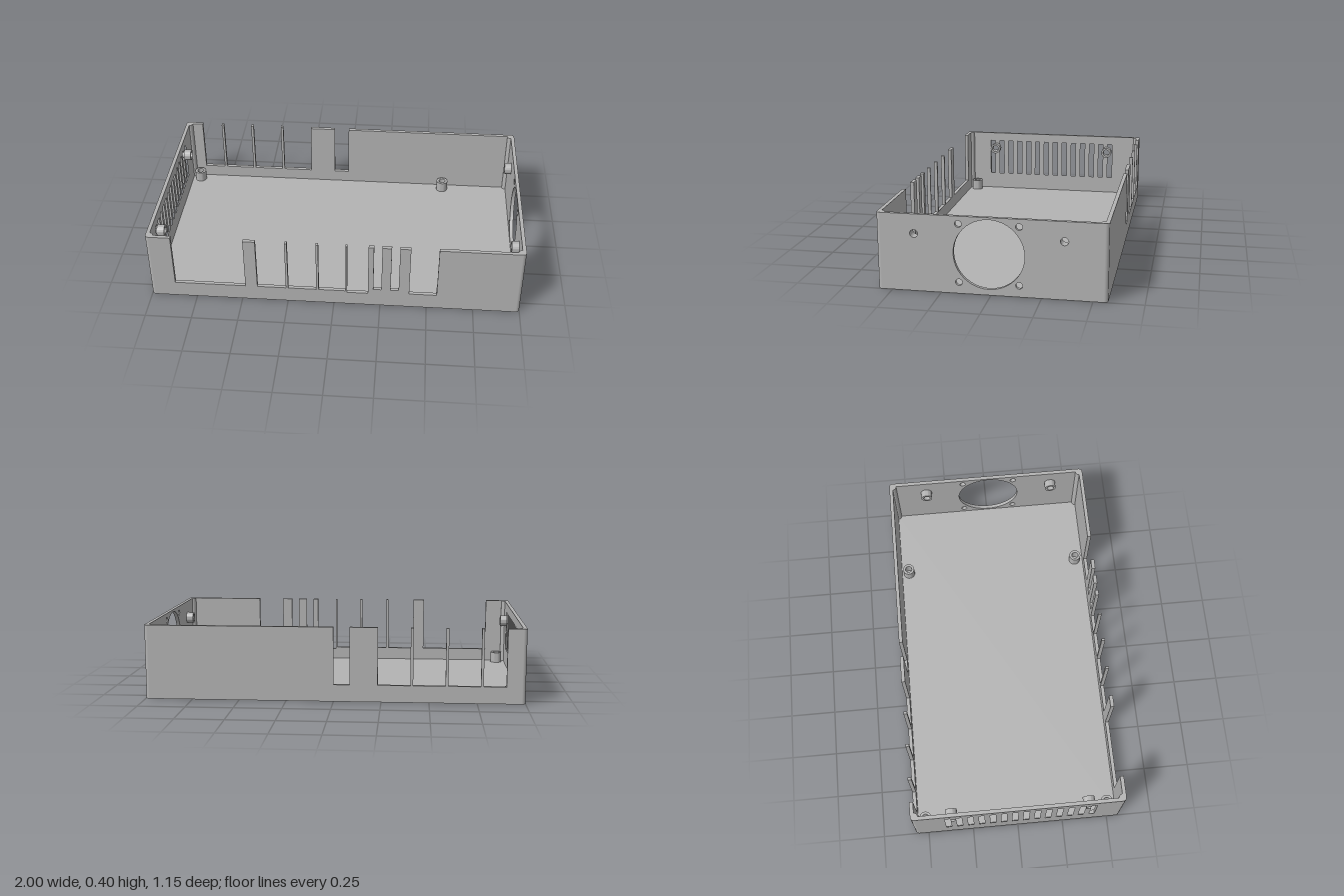
import * as THREE from 'three';
import { toCreasedNormals } from 'three/addons/utils/BufferGeometryUtils.js';

const X = 1, Z = 0.573, H = 0.395, T = 0.02;

const circle = (cx, cy, r) => new THREE.Path().absarc(cx, cy, r, 0, Math.PI * 2, false);
const extrude = (shape, depth) => toCreasedNormals(
  new THREE.ExtrudeGeometry(shape, { depth, bevelEnabled: false, curveSegments: 24 }), 0.5);

// Wall outline with notches [from, to, bottom] cut down from the top edge
function notchedWall(half, notches) {
  const s = new THREE.Shape();
  s.moveTo(half, 0);
  s.lineTo(-half, 0);
  s.lineTo(-half, H);
  for (const [a, b, y] of notches) {
    s.lineTo(a, H);
    s.lineTo(a, y);
    s.lineTo(b, y);
    s.lineTo(b, H);
  }
  s.lineTo(half, H);
  s.closePath();
  return s;
}

// Hollow round post, along +z
function tube(outer, inner, length) {
  const s = new THREE.Shape().absarc(0, 0, outer, 0, Math.PI * 2, false);
  s.holes.push(circle(0, 0, inner));
  return extrude(s, length);
}

export function createModel() {
  const group = new THREE.Group();
  const grey = new THREE.MeshStandardMaterial({ color: 0xb3b3b3 });
  grey.name = 'grey plastic';
  const add = (name, geo, x = 0, y = 0, z = 0) => {
    const m = new THREE.Mesh(geo, grey);
    m.name = name;
    m.position.set(x, y, z);
    group.add(m);
    return m;
  };

  // Floor
  add('floor', new THREE.BoxGeometry(2 * (X - T), T, 2 * (Z - T)), 0, T / 2, 0);

  // Front and back walls with port openings
  add('frontWall', extrude(notchedWall(X - T, [
    [-0.865, -0.48, 0.09], [-0.415, -0.26, 0.09], [-0.247, -0.095, 0.09],
    [-0.082, 0.062, 0.09], [0.071, 0.183, 0.08], [0.212, 0.255, 0.11],
    [0.305, 0.348, 0.11], [0.405, 0.552, 0.09],
  ]), T), 0, 0, Z - T);
  add('backWall', extrude(notchedWall(X - T, [
    [-0.9, -0.782, 0.09], [-0.768, -0.6, 0.09], [-0.585, -0.417, 0.09],
    [-0.402, -0.232, 0.09], [-0.085, 0, 0.09],
  ]), T), 0, 0, -Z);

  // Fan wall: round opening, four screw holes, two mounting holes
  const bossZ = [0.383, -0.36], bossY = 0.295, holeR = 0.02;
  const fan = notchedWall(Z - T, []);
  fan.holes.push(circle(0.01, 0.207, 0.177));
  for (const z of [0.16, -0.14])
    for (const y of [0.058, 0.356]) fan.holes.push(circle(z, y, 0.017));
  for (const z of bossZ) fan.holes.push(circle(z, bossY, holeR));
  add('fanWall', extrude(fan, T).rotateY(-Math.PI / 2), X);

  // Vent wall: row of slots, the end slots merging with the mounting holes
  const vent = notchedWall(Z - T, []);
  const y0 = 0.12, y1 = 0.343, w = 0.015;
  for (let k = -6; k <= 7; k++) {
    const c = -0.017 + 0.0605 * k;
    const side = k === 7 ? -1 : 1; // side facing the middle at the ends
    const near = c + side * w, far = c - side * w;
    const p = new THREE.Path();
    p.moveTo(near, y0);
    p.lineTo(far, y0);
    p.lineTo(far, y1);
    p.lineTo(near, y1);
    if (k === 7 || k === -6) {
      const cz = k === 7 ? bossZ[0] : bossZ[1];
      const a = Math.acos((near - cz) / holeR);
      p.absarc(cz, bossY, holeR, a, -a, side > 0);
    }
    p.closePath();
    vent.holes.push(p);
  }
  add('ventWall', extrude(vent, T).rotateY(-Math.PI / 2), -X + T);

  // Rounded corners
  for (const sx of [-1, 1]) for (const sz of [-1, 1])
    add('corner', new THREE.CylinderGeometry(T, T, H, 32), sx * (X - T), H / 2, sz * (Z - T));

  // Mounting bosses on the inside of the end walls
  for (const z of bossZ) {
    add('wallBoss', tube(0.032, holeR, 0.04).rotateY(Math.PI / 2), -X + T, bossY, z);
    add('wallBoss', tube(0.032, holeR, 0.04).rotateY(-Math.PI / 2), X - T, bossY, z);
  }

  // Floor standoffs
  for (const x of [-0.93, 0.585]) for (const z of [-0.51, 0.505])
    add('standoff', tube(0.033, 0.019, 0.06).rotateX(-Math.PI / 2), x, T, z);

  return group;
}
